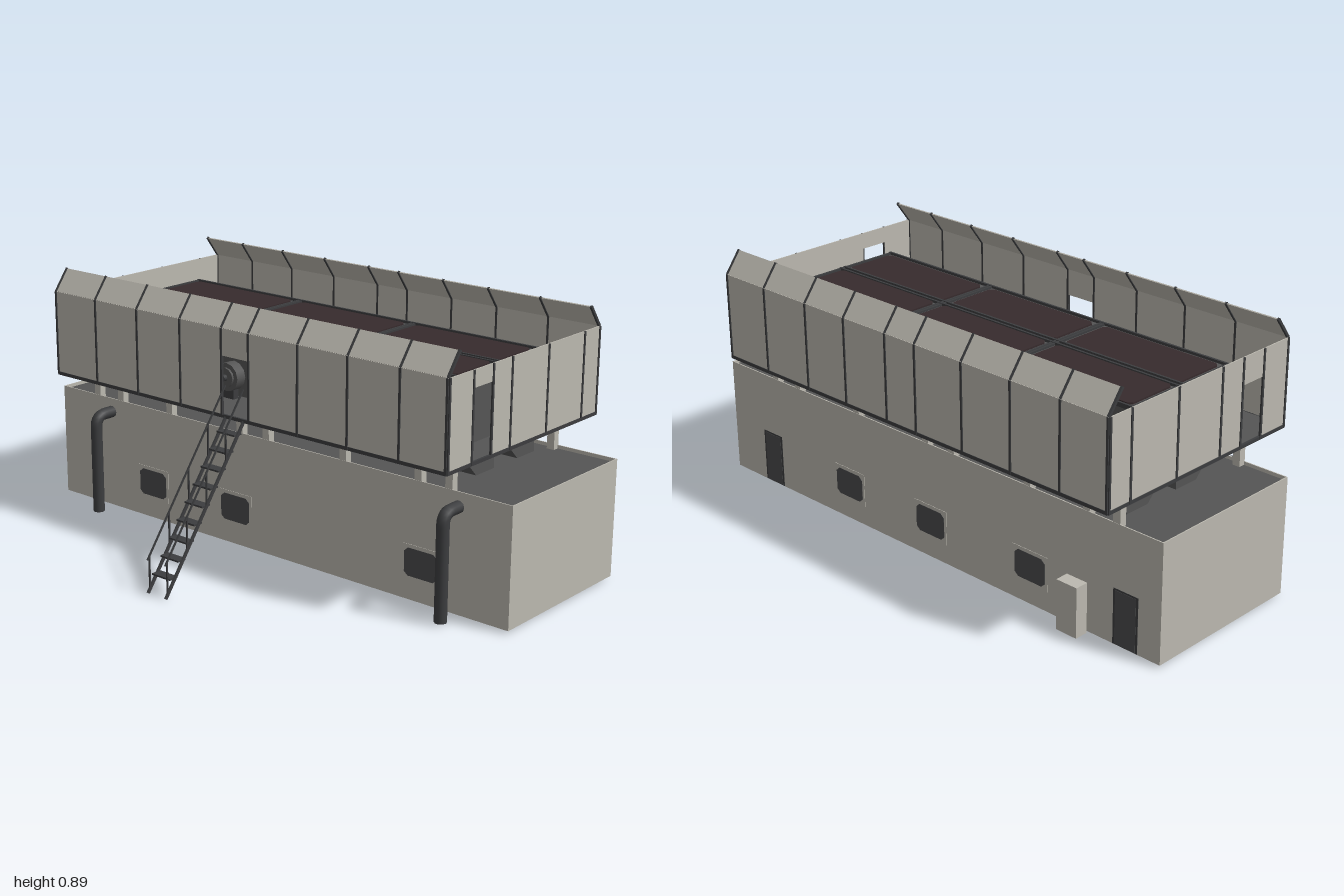
import * as THREE from 'three';

const mat = (name, color) => {
  const m = new THREE.MeshStandardMaterial({ color });
  m.name = name;
  return m;
};

export function createModel() {
  const root = new THREE.Group();
  root.name = 'coolingPlant';
  const beige = mat('beige cladding', 0xbcb9b0);
  const grey = mat('dark grey', 0x555555);
  const steel = mat('dark steel', 0x3c3d3f);
  const glass = mat('window grey', 0x4a4b4c);
  const brown = mat('radiator brown', 0x372b2d);

  const add = (name, geo, m) => {
    const mesh = new THREE.Mesh(geo, m);
    mesh.name = name;
    root.add(mesh);
    return mesh;
  };
  // box given by its limits on each axis
  const box = (name, m, x0, x1, y0, y1, z0, z1) => {
    const b = add(name, new THREE.BoxGeometry(x1 - x0, y1 - y0, z1 - z0), m);
    b.position.set((x0 + x1) / 2, (y0 + y1) / 2, (z0 + z1) / 2);
    return b;
  };
  // straight bar between two points
  const beam = (name, m, a, b, wx, wz) => {
    const p = new THREE.Vector3(...a), d = new THREE.Vector3(...b).sub(p);
    const mesh = add(name, new THREE.BoxGeometry(wx, d.length(), wz), m);
    mesh.position.copy(p).addScaledVector(d, 0.5);
    mesh.quaternion.setFromUnitVectors(new THREE.Vector3(0, 1, 0), d.normalize());
    return mesh;
  };
  const cylX = (name, m, r, x0, x1, y, z, n = 12) => {
    const c = add(name, new THREE.CylinderGeometry(r, r, Math.abs(x1 - x0), n), m);
    c.rotation.z = Math.PI / 2;
    c.position.set((x0 + x1) / 2, y, z);
  };

  // Lower building: open-bottomed shell with a sunken roof
  const L = -0.105, R = 0.495, T = 0.004;
  box('buildingWallRight', beige, L, L + T, 0.01, 0.42, -1, 1);
  box('buildingWallLeft', beige, R - T, R, 0.01, 0.42, -1, 1);
  box('buildingWallFront', beige, L, R, 0.01, 0.42, 1 - T, 1);
  box('buildingWallBack', beige, L, R, 0.01, 0.42, -1, -1 + T);
  box('buildingRoof', grey, L + T, R - T, 0.4, 0.408, -1 + T, 1 - T);

  // Windows, visible on both faces of the wall
  const pane = new THREE.Shape();
  [[-0.065, -0.035], [-0.05, -0.048], [0.05, -0.048], [0.065, -0.035],
   [0.065, 0.035], [0.05, 0.048], [-0.05, 0.048], [-0.065, 0.035]]
    .forEach(([x, y], i) => (i ? pane.lineTo(x, y) : pane.moveTo(x, y)));
  const paneGeo = new THREE.ExtrudeGeometry(pane, { depth: 0.0098, bevelEnabled: false });
  paneGeo.translate(0, 0, -0.0049).rotateY(Math.PI / 2);
  const addWindow = (x, z) => {
    box('windowFrame', beige, x - 0.0036, x + 0.0036, 0.08, 0.2, z - 0.075, z + 0.075);
    add('windowPane', paneGeo, glass).position.set(x, 0.14, z);
  };
  [0.38, -0.02, -0.47].forEach(z => addWindow(R - T / 2, z));
  [0.66, -0.14, -0.54].forEach(z => addWindow(L + T / 2, z));

  // Doors and the outdoor cabinet
  for (const z of [0.79, -0.863]) {
    box('doorFrame', steel, R - 0.006, R + 0.001, 0.011, 0.203, z - 0.049, z + 0.049);
    box('door', glass, R - 0.007, R + 0.002, 0.012, 0.197, z - 0.041, z + 0.041);
  }
  box('cabinet', beige, 0.502, 0.55, 0.008, 0.183, -0.715, -0.632);
  box('cabinetBracket', beige, R, 0.503, 0.03, 0.16, -0.7, -0.645);

  // Bent pipes on the right wall, running into the building
  for (const z of [0.8, -0.745]) {
    const path = new THREE.CurvePath();
    const v = (x, y) => new THREE.Vector3(x, y, z);
    path.add(new THREE.LineCurve3(v(-0.185, 0.01), v(-0.185, 0.33)));
    path.add(new THREE.QuadraticBezierCurve3(v(-0.185, 0.33), v(-0.185, 0.371), v(-0.145, 0.371)));
    path.add(new THREE.LineCurve3(v(-0.145, 0.371), v(0.14, 0.371)));
    add('pipe', new THREE.TubeGeometry(path, 60, 0.021, 10), steel);
    cylX('pipeEnd', steel, 0.021, 0.138, 0.142, 0.371, z, 10);
    const foot = add('pipeFoot', new THREE.CylinderGeometry(0.021, 0.021, 0.004, 10), steel);
    foot.position.set(-0.185, 0.012, z);
  }

  // Support posts between roof and platform
  for (const x of [-0.091, 0.481])
    for (const z of [0.76, 0.64, 0.335, 0, -0.12, -0.455, -0.7, -0.82])
      box('supportPost', beige, x - 0.013, x + 0.013, 0.405, 0.515, z - 0.014, z + 0.014);

  // Platform
  const X0 = -0.23, X1 = 0.61, Z0 = -0.885, Z1 = 0.84, F = 0.515, H = 0.818;
  box('platformFloor', grey, X0, X1, F, F + 0.008, Z0, Z1);
  for (const x of [X0, X1]) box('platformEdge', steel, x - 0.004, x + 0.004, F - 0.003, F + 0.009, Z0, Z1);
  for (const z of [Z0, Z1]) box('platformEdge', steel, X0, X1, F - 0.003, F + 0.009, z - 0.004, z + 0.004);

  // Screen walls with doorways and lintels
  for (const [z, top] of [[Z1, 0.76], [Z0, 0.725]]) {
    box('endScreen', beige, X0, -0.105, F, H, z - 0.002, z + 0.002);
    box('endScreen', beige, 0, X1, F, H, z - 0.002, z + 0.002);
    box('endLintel', beige, -0.105, 0, top, H, z - 0.002, z + 0.002);
    const s = Math.sign(z);
    for (const x of [X0 + 0.003, -0.105, -0.002, 0.1, 0.305, 0.515, X1 - 0.003])
      box('endScreenPost', steel, x - 0.004, x + 0.004, F, H, z - 0.003 + s * 0.002, z + 0.003 + s * 0.002);
  }
  box('sideScreenLeft', beige, X1 - 0.002, X1 + 0.002, F, H, Z0, Z1);
  box('sideScreenRight', beige, X0 - 0.002, X0 + 0.002, F, H, Z0, -0.08);
  box('sideScreenRight', beige, X0 - 0.002, X0 + 0.002, F, H, 0.04, Z1);
  box('sideLintel', beige, X0 - 0.002, X0 + 0.002, 0.725, H, -0.08, 0.04);

  // Inward-leaning top panels and the posts that follow them
  const sides = [
    [X0, 1, [-0.882, -0.68, -0.475, -0.27, -0.08, 0.04, 0.25, 0.455, 0.66, 0.837]],
    [X1, -1, [-0.882, -0.7, -0.5, -0.295, -0.09, 0.045, 0.24, 0.43, 0.64, 0.837]],
  ];
  for (const [x, s, posts] of sides) {
    const zc = (Z0 + Z1) / 2;
    beam('leaningPanel', beige, [x, H, zc], [x + s * 0.055, 0.892, zc], 0.004, Z1 - Z0);
    for (const z of posts) {
      box('sideScreenPost', steel, x - 0.004 - s * 0.001, x + 0.004 - s * 0.001, F, H, z - 0.004, z + 0.004);
      beam('leaningPost', steel, [x, H, z], [x + s * 0.056, 0.893, z], 0.009, 0.008);
    }
  }

  // Radiator rows, hoppers beneath them and fan motors on both flanks
  const hopperGeo = (x0, x1, xb, len) => {
    const s = new THREE.Shape();
    s.moveTo(x0, F);
    s.lineTo(xb, 0.405);
    s.lineTo(x1, 0.405);
    s.lineTo(x1, F);
    s.closePath();
    return new THREE.ExtrudeGeometry(s, { depth: len, bevelEnabled: false });
  };
  const panel = (w, d) => {
    const s = new THREE.Shape(), c = 0.012, a = w / 2, b = d / 2;
    [[-a, -b + c], [-a + c, -b], [a - c, -b], [a, -b + c], [a, b - c], [a - c, b], [-a + c, b], [-a, b - c]]
      .forEach(([x, y], i) => (i ? s.lineTo(x, y) : s.moveTo(x, y)));
    return new THREE.ExtrudeGeometry(s, { depth: 0.006, bevelEnabled: false }).rotateX(-Math.PI / 2);
  };
  const panelGeo = panel(0.194, 0.468);
  const rows = [[-0.8, -0.298], [-0.286, 0.216], [0.228, 0.73]];
  const motorSteps = [-0.155, 0, 0.157];
  rows.forEach(([z0, z1]) => {
    const zc = (z0 + z1) / 2;
    box('radiatorHousing', grey, -0.036, 0.415, F, 0.756, z0, z1);
    for (const x of [0.079, 0.303]) add('radiatorPanel', panelGeo, brown).position.set(x, 0.756, zc);
    for (const z of [z0, z1]) box('radiatorRim', steel, -0.04, 0.419, 0.75, 0.763, z - 0.004, z + 0.004);
    add('hopper', hopperGeo(-0.02, 0.183, 0.088, z1 - z0 - 0.01), grey).position.z = z0 + 0.01;
    add('hopper', hopperGeo(0.21, 0.415, 0.32, z1 - z0 - 0.01), grey).position.z = z0 + 0.01;
    for (const dz of motorSteps)
      for (const s of [-1, 1]) {
        const z = zc + dz - 0.0, at = d => 0.19 + s * d;
        cylX('motorBody', grey, 0.05, at(0.24), at(0.28), 0.6, z);
        cylX('motorBack', grey, 0.034, at(0.225), at(0.288), 0.6, z);
        cylX('motorShaft', steel, 0.012, at(0.28), at(0.303), 0.6, z, 8);
        box('motorFoot', steel, at(0.26) - 0.012, at(0.26) + 0.012, F + 0.006, 0.56, z - 0.025, z + 0.025);
      }
  });
  for (const x of [-0.036, 0.18, 0.2, 0.415])
    box('radiatorRail', steel, x - 0.004, x + 0.004, 0.75, 0.765, -0.804, 0.734);

  // Stair to the right doorway
  for (const z of [-0.065, 0.015]) {
    beam('stairStringer', steel, [-0.608, 0.004, z], [X0, F, z], 0.011, 0.006);
    beam('stairHandrail', steel, [-0.608, 0.118, z], [X0, 0.626, z], 0.005, 0.005);
    for (const x of [-0.599, -0.505, -0.411, -0.317]) {
      const y = (x + 0.61) * 1.35;
      box('handrailPost', steel, x - 0.0025, x + 0.0025, y, y + 0.117, z - 0.0025, z + 0.0025);
    }
  }
  for (let i = 0; i < 9; i++) {
    const x = -0.57 + i * 0.039, y = 0.064 + i * 0.0515;
    box('stairTread', steel, x - 0.018, x + 0.018, y - 0.003, y + 0.003, -0.065, 0.015);
  }
  return root;
}
